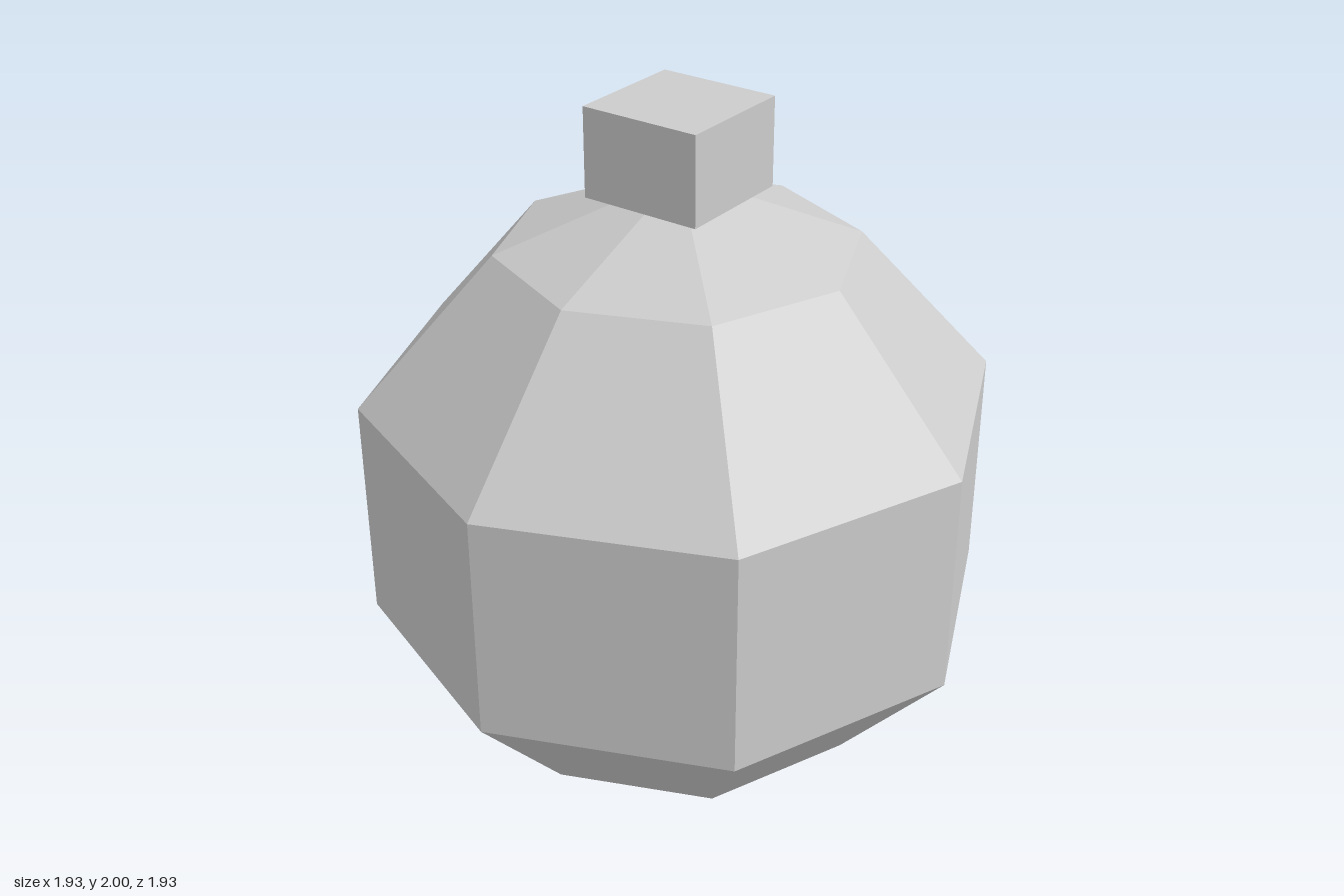
import * as THREE from 'three';

export function createModel() {
  const group = new THREE.Group();
  const grey = new THREE.MeshStandardMaterial({ color: 0xcccccc, flatShading: true });
  grey.name = 'light grey';

  // Eight-sided body, with corners on the x and z axes
  const profile = [
    [0, 0], [0.625, 0], [0.967, 0.393], [0.967, 1.097], [0.547, 1.565], [0, 1.78],
  ].map(([r, y]) => new THREE.Vector2(r, y));
  const body = new THREE.Mesh(new THREE.LatheGeometry(profile, 8), grey);
  body.name = 'body';
  group.add(body);

  // Square cap, turned so its corners point along the axes
  const cap = new THREE.Mesh(new THREE.CylinderGeometry(0.273, 0.273, 0.273, 4), grey);
  cap.name = 'cap';
  cap.position.y = 2 - 0.273 / 2;
  group.add(cap);

  return group;
}
